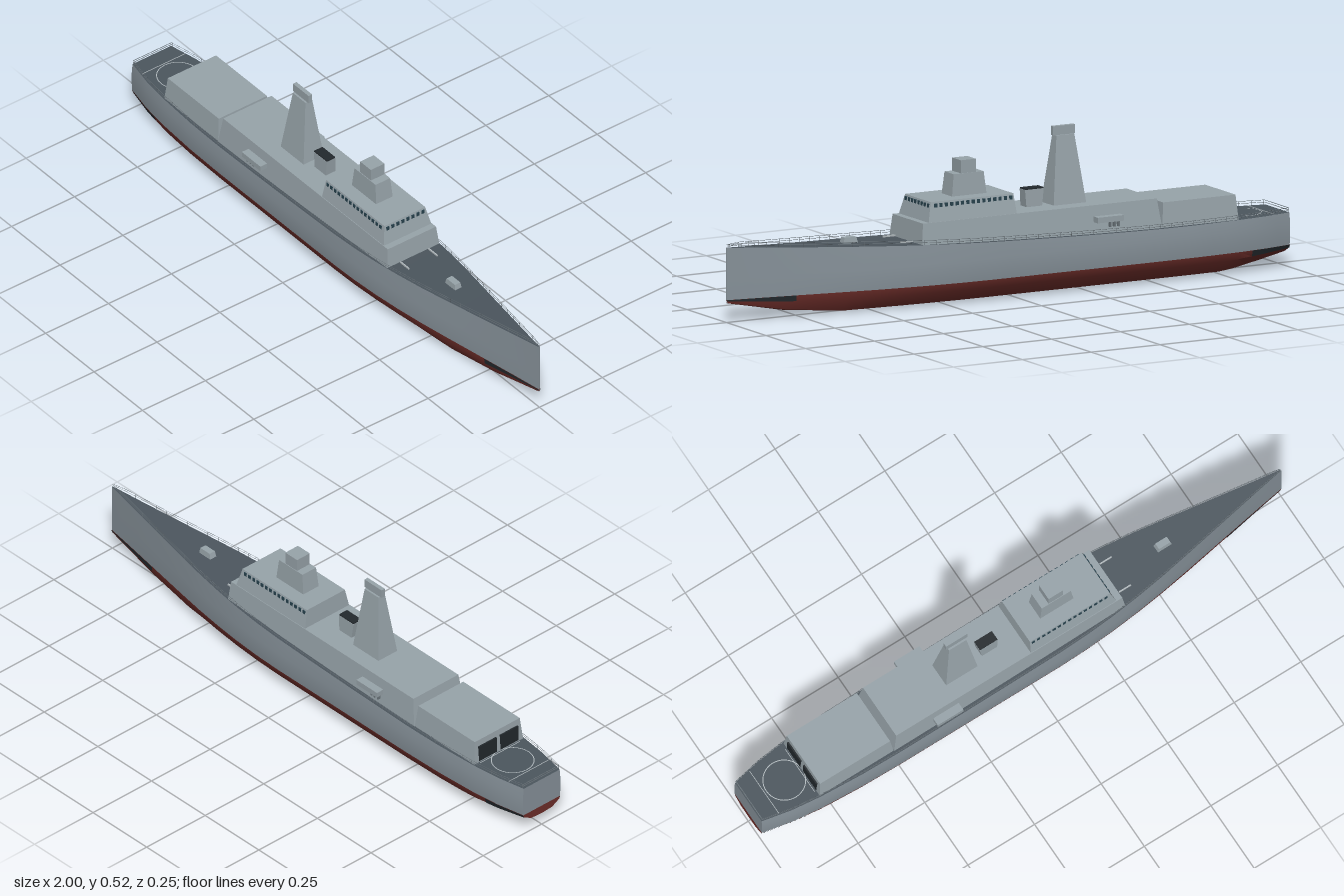
import * as THREE from 'three';
import { toCreasedNormals } from 'three/addons/utils/BufferGeometryUtils.js';

const COLORS = {
  hull: 0x87929a, red: 0x6e2e2a, deck: 0x4c565e, house: 0x98a4aa,
  dark: 0x23292d, glass: 0x27424e, rail: 0x6d777d, line: 0xb4bcc0,
};
const mats = {};
const mat = (k) => (mats[k] ??= new THREE.MeshStandardMaterial({ color: COLORS[k], side: THREE.DoubleSide }));

// Piecewise linear lookup in a list of [x, value]
function lookup(table, x) {
  for (let i = 1; i < table.length; i++) {
    const [a, va] = table[i - 1], [b, vb] = table[i];
    if (x <= b) return va + (vb - va) * (x - a) / (b - a);
  }
  return table[table.length - 1][1];
}

const BEAM = [[-1, 0.08], [-0.9, 0.101], [-0.8, 0.113], [-0.65, 0.122], [-0.5, 0.125], [0.1, 0.125], [0.2, 0.122],
  [0.3, 0.115], [0.4, 0.104], [0.5, 0.09], [0.6, 0.073], [0.7, 0.055], [0.8, 0.037], [0.9, 0.019], [1, 0.002]];
const KEEL = [[-1, 0.043], [-0.77, 0], [0.6, 0], [0.8, 0.022], [1, 0.062]];
const WATER = 0.072;
const beam = (x) => lookup(BEAM, x);
const deckY = (x) => 0.175 + 0.065 * Math.pow(Math.max(0, (x + 0.6) / 1.6), 1.6);

// Half sections, centre or waterline upwards, as [z, y]
const lowerHalf = (x) => {
  const k = lookup(KEEL, x), b = beam(x);
  return [[0, 0], [0.56, 0.1], [0.92, 0.65], [0.975, 1]].map(([z, t]) => [z * b, k + t * (WATER - k)]);
};
const upperHalf = (x) => {
  const b = beam(x), d = deckY(x);
  return [[0.975 * b, WATER], [b, 0.1], [b, 0.14], [0.96 * b, d]];
};

// Surface through rows of points
function loft(rows) {
  const n = rows[0].length, index = [];
  for (let i = 0; i < rows.length - 1; i++) {
    for (let j = 0; j < n - 1; j++) {
      const a = i * n + j, b = a + n;
      index.push(a, b, a + 1, b, b + 1, a + 1);
    }
  }
  const g = new THREE.BufferGeometry();
  g.setAttribute('position', new THREE.Float32BufferAttribute(rows.flat(2), 3));
  g.setIndex(index);
  g.computeVertexNormals();
  return g;
}

const stations = (a, b, n) => Array.from({ length: n + 1 }, (_, i) => a + (b - a) * i / n);

// Box with a separate rectangle [x0, x1, halfZ] for bottom and top
function taperedBox(bottom, y0, top, y1) {
  const g = new THREE.BoxGeometry(1, 1, 1), p = g.attributes.position;
  for (let i = 0; i < p.count; i++) {
    const up = p.getY(i) > 0, r = up ? top : bottom;
    p.setXYZ(i, p.getX(i) > 0 ? r[1] : r[0], up ? y1 : y0, Math.sign(p.getZ(i)) * r[2]);
  }
  g.computeVertexNormals();
  return g;
}

export function createModel() {
  const root = new THREE.Group();
  root.name = 'ship';
  const add = (name, geo, color, x = 0, y = 0, z = 0, parent = root) => {
    const m = new THREE.Mesh(geo, mat(color));
    m.name = name;
    m.position.set(x, y, z);
    parent.add(m);
    return m;
  };
  const box = (name, w, h, d, color, x, y, z, parent) =>
    add(name, new THREE.BoxGeometry(w, h, d), color, x, y, z, parent);

  // Hull
  const xs = stations(-1, 1, 40);
  add('lowerHull', toCreasedNormals(loft(xs.map((x) => {
    const h = lowerHalf(x);
    return [...h.slice(1).reverse().map(([z, y]) => [x, y, -z]), ...h.map(([z, y]) => [x, y, z])];
  })), 0.6), 'red');
  for (const s of [1, -1]) {
    add('hullSide', loft(xs.map((x) => {
      const row = upperHalf(x).map(([z, y]) => [x, y, s * z]);
      return s > 0 ? row : row.reverse();
    })), 'hull');
    // Dark waterline patches at bow and stern
    for (const [a, b] of [[0.77, 1], [-1, -0.85]]) {
      add('waterlinePatch', loft(stations(a, b, 6).map((x) => {
        const row = lowerHalf(x).slice(2).map(([z, y]) => [x, y, s * (z + 0.0015)]);
        return s > 0 ? row : row.reverse();
      })), 'dark');
    }
  }
  const across = (half) => half.map(([z, y]) => [[-1, y, z], [-1, y, -z]]);
  add('transomLower', loft(across(lowerHalf(-1))), 'red');
  add('transomUpper', loft(across(upperHalf(-1))), 'hull');
  add('deck', loft(xs.map((x) => [0.96, -0.96].map((s) => [x, deckY(x), s * beam(x)]))), 'deck');
  add('stem', new THREE.CylinderGeometry(0.002, 0.002, 0.178, 8), 'hull', 0.998, 0.151, 0);

  // Superstructure
  add('hangar', taperedBox([-0.8, -0.522, 0.105], 0.17, [-0.793, -0.53, 0.096], 0.255), 'house');
  add('mainHouse', taperedBox([-0.522, 0.352, 0.107], 0.17, [-0.507, 0.342, 0.096], 0.27), 'house');
  add('bridge', taperedBox([0, 0.32, 0.094], 0.27, [0.005, 0.305, 0.081], 0.333), 'house');
  add('radarBase', taperedBox([0.075, 0.2, 0.033], 0.333, [0.083, 0.192, 0.029], 0.403), 'house');
  add('radarHouse', taperedBox([0.11, 0.165, 0.027], 0.403, [0.11, 0.165, 0.027], 0.445), 'house');
  add('mainMast', taperedBox([-0.283, -0.165, 0.04], 0.27, [-0.255, -0.19, 0.0135], 0.488), 'house');
  box('mastCap', 0.08, 0.029, 0.014, 'house', -0.222, 0.5025, 0);
  add('exhaust', taperedBox([-0.135, -0.078, 0.019], 0.27, [-0.142, -0.074, 0.017], 0.325), 'house');
  box('exhaustTop', 0.066, 0.004, 0.033, 'dark', -0.108, 0.327, 0);

  // Bridge windows
  const windows = new THREE.Group();
  windows.name = 'bridgeWindows';
  root.add(windows);
  for (let i = 0; i < 8; i++) box('frontWindow', 0.004, 0.012, 0.011, 'glass', 0.308, 0.321, -0.07 + i * 0.02, windows);
  for (const s of [1, -1]) {
    for (let i = 0; i < 15; i++) {
      box('sideWindow', 0.011, 0.012, 0.003, 'glass', 0.016 + i * 0.0195, 0.321, s * 0.0833, windows);
    }
  }

  // Hangar doors
  for (const s of [1, -1]) box('hangarDoor', 0.006, 0.055, 0.075, 'dark', -0.797, 0.206, s * 0.046);

  // Landing deck markings
  const ring = add('landingCircle', new THREE.RingGeometry(0.066, 0.069, 40), 'line', -0.865, 0.1765, 0);
  ring.rotation.x = -Math.PI / 2;
  for (const x of [-0.94, -0.806]) box('landingLine', 0.002, 0.001, 0.17, 'line', x, 0.176, 0);

  // Boats on davits, bollards
  for (const s of [1, -1]) {
    box('boat', 0.096, 0.018, 0.027, 'house', -0.323, 0.226, s * 0.1135);
    for (const x of [-0.36, -0.345, -0.33]) box('davit', 0.005, 0.02, 0.014, 'rail', x, 0.208, s * 0.108);
    box('deckFitting', 0.045, 0.005, 0.004, 'line', 0.378, 0.209, s * 0.056);
  }

  // Foredeck gun
  add('foredeckMount', taperedBox([0.53, 0.582, 0.013], 0.214, [0.535, 0.578, 0.011], 0.233), 'house');

  // Railings
  const railing = new THREE.Group();
  railing.name = 'railing';
  root.add(railing);
  const post = new THREE.CylinderGeometry(0.0007, 0.0007, 0.016, 4);
  for (const s of [1, -1]) {
    for (const h of [0.008, 0.015]) {
      const path = new THREE.CatmullRomCurve3(xs.map((x) =>
        new THREE.Vector3(x * 0.998, deckY(x) + h * (x > 0.95 ? 0.6 : 1), s * 0.95 * beam(x))));
      add('rail', new THREE.TubeGeometry(path, 80, 0.0007, 4), 'rail', 0, 0, 0, railing);
    }
    for (const x of stations(-0.995, 0.95, 48)) add('railPost', post, 'rail', x, deckY(x) + 0.0075, s * 0.95 * beam(x), railing);
  }
  for (const h of [0.008, 0.015]) box('sternRail', 0.0014, 0.0014, 0.152, 'rail', -0.997, 0.175 + h, 0, railing);

  return root;
}
